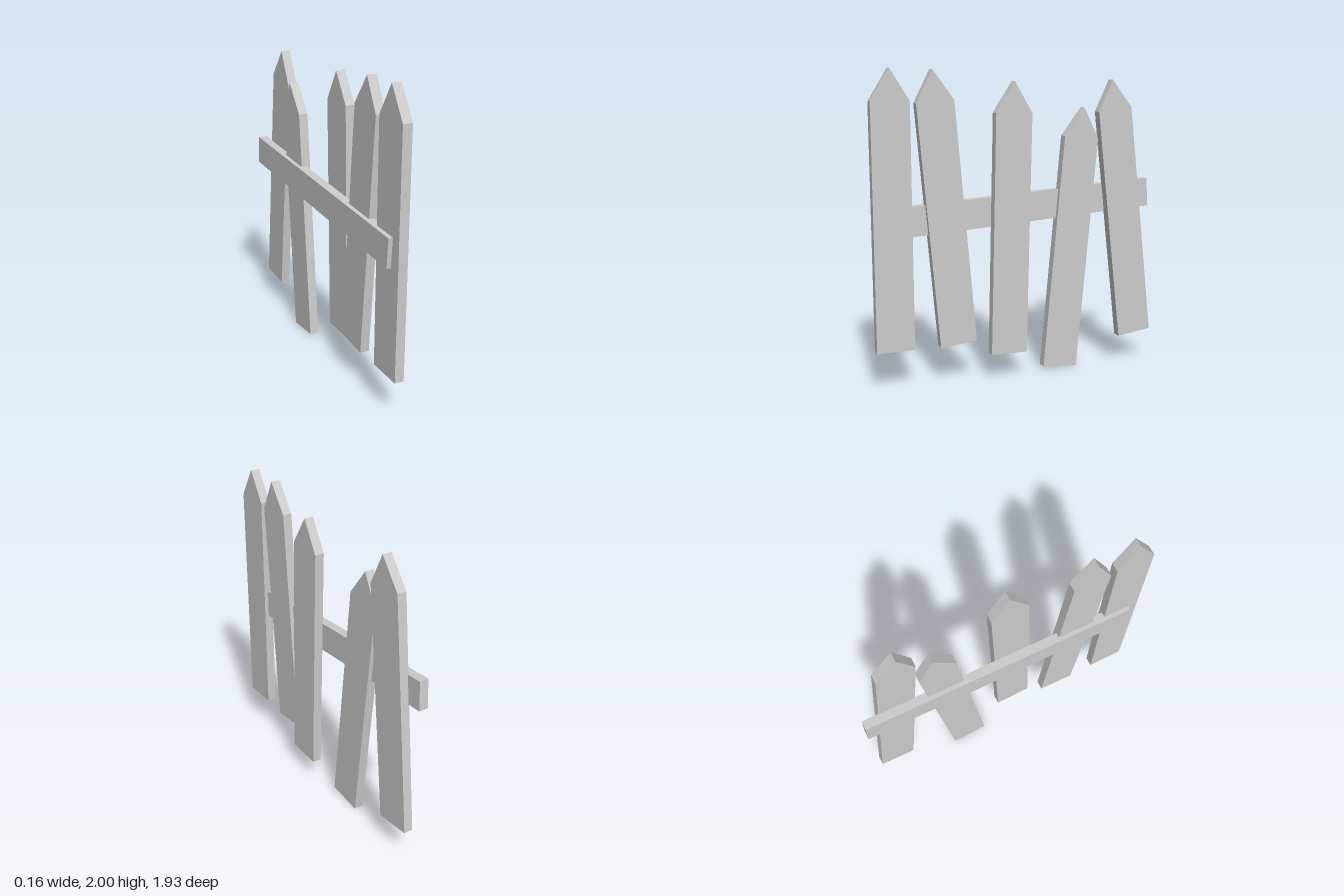
import * as THREE from 'three';

const THICKNESS = 0.061;
const material = new THREE.MeshStandardMaterial({ color: 0xcccccc, flatShading: true });

// Pointed board outline, standing on the origin, thickness centred on x = 0
function picketGeometry(width, shoulder, height) {
  const w = width / 2;
  const shape = new THREE.Shape([
    new THREE.Vector2(-w, 0),
    new THREE.Vector2(w, 0),
    new THREE.Vector2(w, shoulder),
    new THREE.Vector2(0, height),
    new THREE.Vector2(-w, shoulder),
  ]);
  return new THREE.ExtrudeGeometry(shape, { depth: THICKNESS, bevelEnabled: false })
    .translate(0, 0, -THICKNESS / 2)
    .rotateY(-Math.PI / 2);
}

export function createModel() {
  const fence = new THREE.Group();
  fence.name = 'brokenFence';

  // Crooked pickets: x centre, foot (z, y), tip (z, y)
  const pickets = [
    [-0.025, 0.843, 0.255, 0.843, 2.0],
    [-0.025, 0.43, 0.255, 0.58, 1.994],
    [0.049, 0.112, 0.176, 0.07, 1.921],
    [-0.025, -0.285, 0.015, -0.45, 1.755],
    [0.004, -0.84, 0.197, -0.64, 1.93],
  ];
  const geometry = picketGeometry(0.243, 1.55, 1.745);
  pickets.forEach(([x, footZ, footY, tipZ, tipY], i) => {
    const picket = new THREE.Mesh(geometry, material);
    picket.name = `picket${i + 1}`;
    picket.position.set(x, footY, footZ);
    picket.rotation.x = Math.atan2(tipZ - footZ, tipY - footY);
    fence.add(picket);
  });

  // Sloping cross rail behind the pickets
  const rail = new THREE.Mesh(new THREE.BoxGeometry(THICKNESS, 0.19, 1.847), material);
  rail.name = 'rail';
  rail.position.set(-0.053, 1.111, -0.03);
  rail.rotation.x = Math.atan2(0.117, 1.843);
  fence.add(rail);

  return fence;
}
